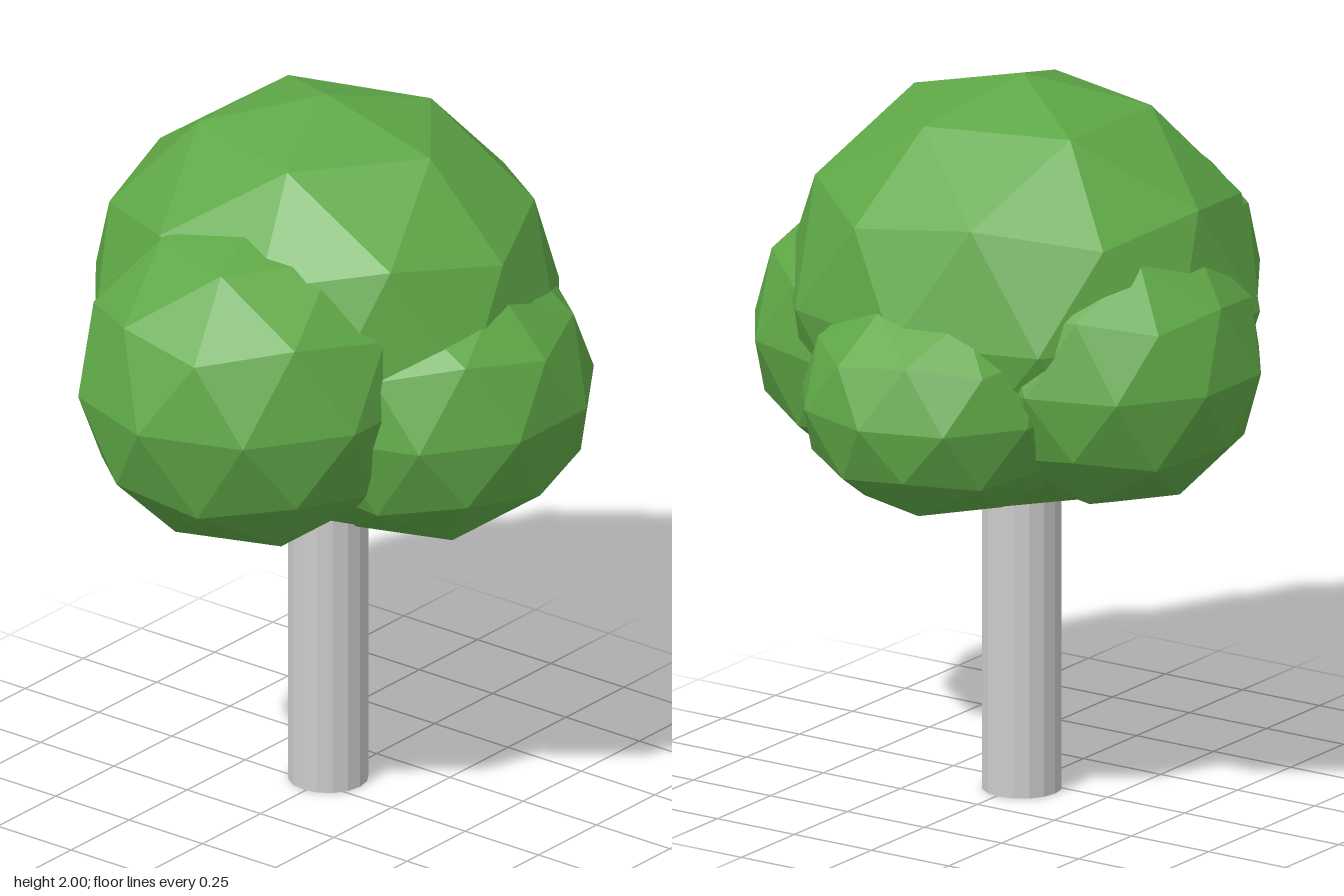
import * as THREE from 'three';

// Low-poly ball with one vertex straight up and an upper-ring vertex towards +x
function leafBall() {
  const g = new THREE.IcosahedronGeometry(1, 1);
  g.rotateZ(Math.atan(2 / (1 + Math.sqrt(5))));
  g.rotateY(Math.PI);
  return g;
}

export function createModel() {
  const tree = new THREE.Group();
  tree.name = 'tree';
  const bark = new THREE.MeshStandardMaterial({ color: 0xcccccc, flatShading: true });
  const leaves = new THREE.MeshStandardMaterial({ color: 0x5fa847, flatShading: true });

  // Trunk, running up into the crown
  const trunkHeight = 1.2;
  const trunk = new THREE.Mesh(new THREE.CylinderGeometry(0.108, 0.108, trunkHeight, 16), bark);
  trunk.name = 'trunk';
  trunk.position.set(-0.008, trunkHeight / 2, -0.052);
  tree.add(trunk);

  // Crown: overlapping leaf clumps as [name, centre, radii]
  const crown = new THREE.Group();
  crown.name = 'crown';
  const clumps = [
    ['mainClump', [-0.01, 1.395, -0.05], [0.67, 0.605, 0.62]],
    ['frontClump', [0.035, 1.32, 0.3], [0.478, 0.465, 0.525]],
    ['leftClump', [0.34, 1.24, -0.055], [0.438, 0.41, 0.465]],
    ['rightClump', [-0.367, 1.28, -0.145], [0.413, 0.395, 0.415]],
    ['backClump', [-0.01, 1.195, -0.44], [0.383, 0.325, 0.388]],
  ];
  const ball = leafBall();
  for (const [name, centre, radii] of clumps) {
    const clump = new THREE.Mesh(ball.clone().scale(...radii), leaves);
    clump.name = name;
    clump.position.set(...centre);
    crown.add(clump);
  }
  tree.add(crown);
  return tree;
}
